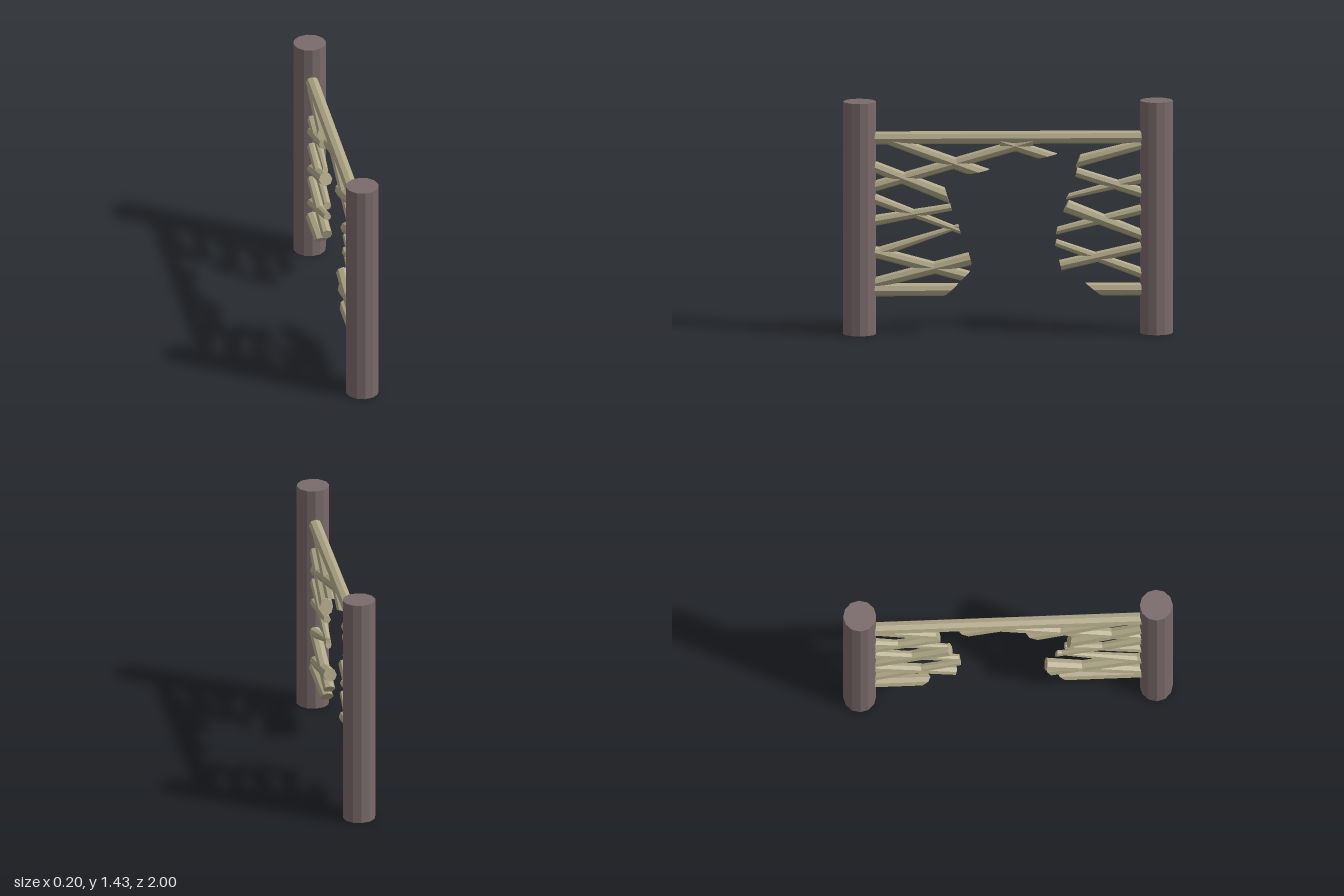
import * as THREE from 'three';

const SIDES = 8;

// Tapered stick lying in the x = 0 plane. The start is cut upright; the end
// is cut on the slant through the points (zt, yt) and (zb, yb).
function stickGeometry([z0, top0, bot0, zt, yt, zb, yb]) {
  const mid0 = new THREE.Vector3(0, (top0 + bot0) / 2, z0);
  const mid1 = new THREE.Vector3(0, (yt + yb) / 2, (zt + zb) / 2);
  const axis = mid1.clone().sub(mid0).normalize();
  const ring = (mid, up) => {
    // Half width across = the part of the cut that is square to the axis
    const half = up.clone().addScaledVector(axis, -up.dot(axis)).length();
    const sign = axis.z < 0 ? 1 : -1;
    return Array.from({ length: SIDES }, (_, i) => {
      const a = (i / SIDES) * Math.PI * 2;
      const p = mid.clone().addScaledVector(up, Math.cos(a));
      p.x = sign * half * Math.sin(a);
      return p;
    });
  };
  const A = ring(mid0, new THREE.Vector3(0, (top0 - bot0) / 2, 0));
  const B = ring(mid1, new THREE.Vector3(0, (yt - yb) / 2, (zt - zb) / 2));
  const points = [];
  for (let i = 0; i < SIDES; i++) {
    const j = (i + 1) % SIDES;
    points.push(A[i], A[j], B[j], A[i], B[j], B[i]); // side
    points.push(mid1, B[i], B[j], mid0, A[j], A[i]); // caps
  }
  const geometry = new THREE.BufferGeometry().setFromPoints(points);
  geometry.computeVertexNormals();
  return geometry;
}

// Each stick: start z, start top y, start bottom y, end top z, y, end bottom z, y
const FRONT_STICKS = [
  [0.82, 0.31, 0.23, 0.30, 0.31, 0.39, 0.23],
  [0.82, 0.345, 0.275, 0.24, 0.50, 0.22, 0.42],
  [0.82, 0.545, 0.47, 0.23, 0.385, 0.29, 0.325],
  [0.82, 0.525, 0.455, 0.30, 0.675, 0.295, 0.645],
  [0.82, 0.87, 0.80, 0.30, 0.655, 0.285, 0.61],
  [0.82, 0.73, 0.66, 0.35, 0.80, 0.34, 0.755],
  [0.82, 1.07, 0.995, 0.385, 0.90, 0.355, 0.80],
  [0.82, 0.94, 0.87, -0.15, 1.22, -0.15, 1.15],
  [0.75, 1.24, 1.17, 0.11, 1.01, 0.25, 0.98],
  [0.05, 1.22, 1.15, -0.30, 1.105, -0.18, 1.075],
];
const BACK_STICKS = [
  [-0.82, 0.31, 0.23, -0.47, 0.31, -0.57, 0.23],
  [-0.82, 0.40, 0.33, -0.295, 0.58, -0.285, 0.535],
  [-0.82, 0.565, 0.50, -0.31, 0.45, -0.325, 0.385],
  [-0.82, 0.635, 0.565, -0.37, 0.82, -0.335, 0.745],
  [-0.82, 0.795, 0.73, -0.30, 0.655, -0.29, 0.605],
  [-0.82, 0.895, 0.825, -0.42, 1.02, -0.41, 0.96],
  [-0.82, 0.985, 0.92, -0.37, 0.86, -0.35, 0.82],
  [-0.82, 1.195, 1.13, -0.44, 1.10, -0.41, 1.015],
];

export function createModel() {
  const model = new THREE.Group();
  const postMaterial = new THREE.MeshStandardMaterial({ color: 0x7a6a6b, flatShading: true });
  const stickMaterial = new THREE.MeshStandardMaterial({ color: 0xb0a888, flatShading: true });
  const add = (name, geometry, material, parent = model) => {
    const mesh = new THREE.Mesh(geometry, material);
    mesh.name = name;
    parent.add(mesh);
    return mesh;
  };

  // Two upright posts
  const post = new THREE.CylinderGeometry(0.1, 0.1, 1.43, 12).rotateY(Math.PI / 2);
  add('frontPost', post, postMaterial).position.set(0, 0.715, 0.9);
  add('backPost', post, postMaterial).position.set(0, 0.715, -0.9);

  // Top rail between the posts
  add('topRail', stickGeometry([0.82, 1.245, 1.165, -0.82, 1.245, -0.82, 1.165]), stickMaterial);

  // Broken sticks reaching in from each post
  for (const [name, list] of [['frontSticks', FRONT_STICKS], ['backSticks', BACK_STICKS]]) {
    const group = new THREE.Group();
    group.name = name;
    list.forEach((s, i) => add(`brokenStick${i + 1}`, stickGeometry(s), stickMaterial, group));
    model.add(group);
  }
  return model;
}
